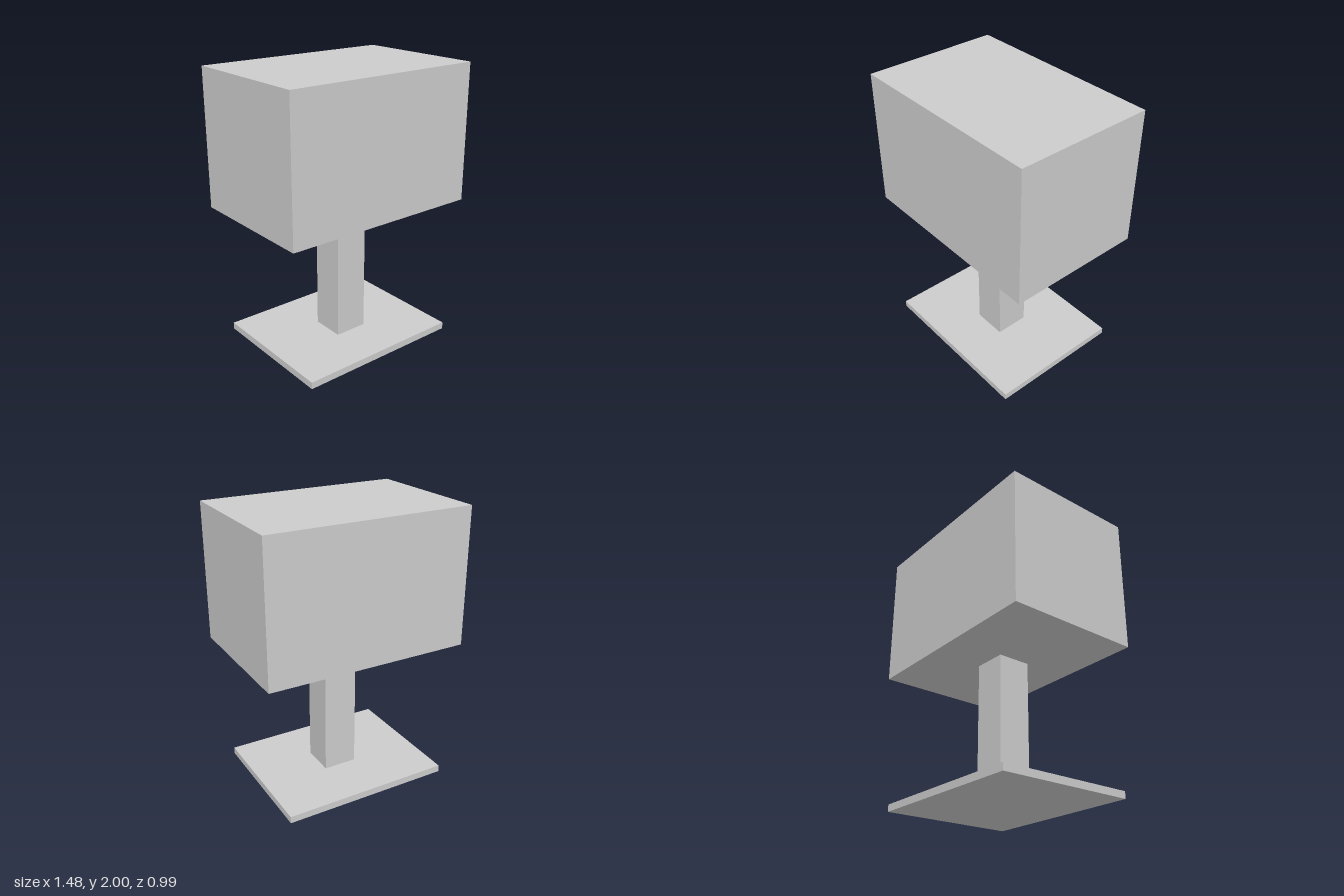
import * as THREE from 'three';

export function createModel() {
  const group = new THREE.Group();
  const material = new THREE.MeshStandardMaterial({ color: 0xcccccc, flatShading: true });

  // Box standing between two heights
  function addBlock(name, width, depth, bottom, top, x = 0, z = 0) {
    const mesh = new THREE.Mesh(new THREE.BoxGeometry(width, top - bottom, depth), material);
    mesh.name = name;
    mesh.position.set(x, (bottom + top) / 2, z);
    group.add(mesh);
  }

  addBlock('basePlate', 1.234, 0.987, 0, 0.05);
  // Post stands slightly off centre
  addBlock('post', 0.245, 0.245, 0.05, 1.016, 0.012, 0.014);
  addBlock('head', 1.478, 0.987, 1.016, 2);

  return group;
}
